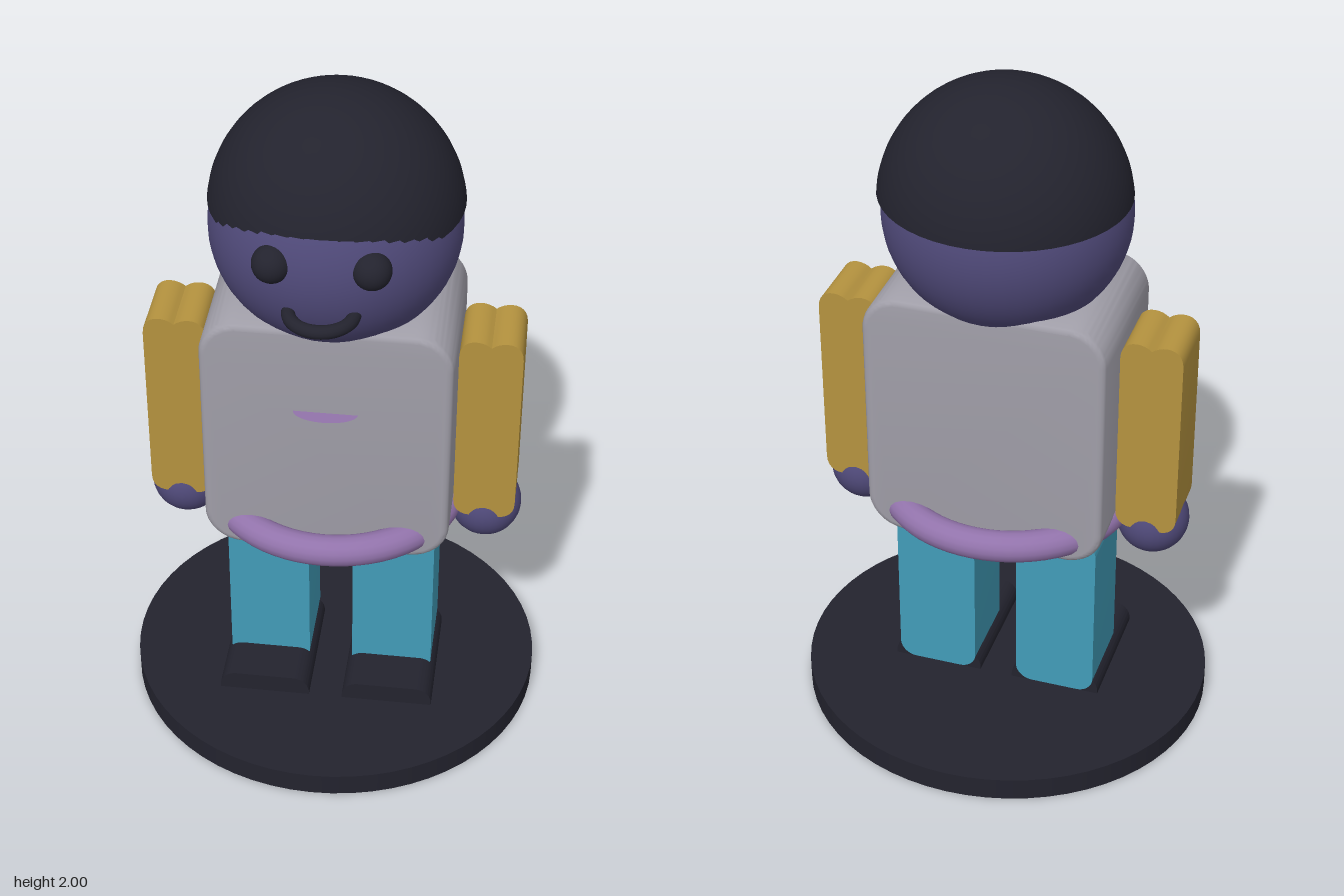
import * as THREE from 'three';
import { toCreasedNormals } from 'three/addons/utils/BufferGeometryUtils.js';

const material = (name, color, side = THREE.FrontSide) => {
  const m = new THREE.MeshStandardMaterial({ color, side });
  m.name = name;
  return m;
};

// Rounded rectangle drawn in XY, centred on the origin
function roundedRect(w, h, r) {
  const x = w / 2, y = h / 2;
  return new THREE.Shape()
    .moveTo(x, y - r).absarc(x - r, y - r, r, 0, Math.PI / 2)
    .absarc(r - x, y - r, r, Math.PI / 2, Math.PI)
    .absarc(r - x, r - y, r, Math.PI, Math.PI * 1.5)
    .absarc(x - r, r - y, r, Math.PI * 1.5, Math.PI * 2);
}

// Sleeve outline with two soft lobes at each end
function sleeveShape(w, h) {
  const x = w / 2, y = h / 2, r = 0.05, notch = y - 0.014;
  const s = new THREE.Shape();
  s.moveTo(x, r - y);
  s.lineTo(x, y - r);
  s.bezierCurveTo(x, y + 0.012, x - 0.06, y + 0.012, 0, notch);
  s.bezierCurveTo(0.06 - x, y + 0.012, -x, y + 0.012, -x, y - r);
  s.lineTo(-x, r - y);
  s.bezierCurveTo(-x, -y - 0.012, 0.06 - x, -y - 0.012, 0, -notch);
  s.bezierCurveTo(x - 0.06, -y - 0.012, x, -y - 0.012, x, r - y);
  return s;
}

// Extrusion along z, centred, with an optional small bevel
function slab(shape, depth, bevel = 0) {
  const geo = new THREE.ExtrudeGeometry(shape, {
    depth: depth - 2 * bevel, curveSegments: 10, bevelEnabled: bevel > 0,
    bevelThickness: bevel, bevelSize: bevel, bevelOffset: -bevel, bevelSegments: 4,
  });
  geo.translate(0, 0, bevel - depth / 2);
  return toCreasedNormals(geo, 0.6);
}

export function createModel() {
  const model = new THREE.Group();
  model.name = 'figurine';

  const dark = material('dark charcoal', 0x23232e);
  const darkOpen = material('cap charcoal', 0x23232e, THREE.DoubleSide);
  const skin = material('indigo skin', 0x504a7a);
  const grey = material('grey shirt', 0xa09ea8);
  const gold = material('gold sleeve', 0xb5933f);
  const teal = material('teal trousers', 0x429cb8);
  const purple = material('purple trim', 0x9273ab, THREE.DoubleSide);

  const add = (name, geo, mat, x = 0, y = 0, z = 0) => {
    const mesh = new THREE.Mesh(geo, mat);
    mesh.name = name;
    mesh.position.set(x, y, z);
    model.add(mesh);
    return mesh;
  };

  // Oval stand
  add('base', new THREE.CylinderGeometry(0.61, 0.61, 0.07, 64), dark, 0, 0.035, 0)
    .scale.z = 0.957;

  // Torso
  add('torso', slab(roundedRect(0.7, 0.775, 0.11), 0.463, 0.02), grey, 0, 1.022, 0);

  // Belt ring around the hips
  const belt = new THREE.TorusGeometry(0.305, 0.045, 16, 64).rotateX(Math.PI / 2);
  add('belt', belt, purple, 0, 0.7, 0).scale.x = 1.085;

  // Thin half-oval ledge on the chest
  const ledge = new THREE.CircleGeometry(0.09, 24, Math.PI, Math.PI).rotateX(-Math.PI / 2);
  add('chestTrim', ledge, purple, 0, 1.135, 0.23).scale.z = 0.5;

  // Limbs, mirrored
  const legGeo = slab(roundedRect(0.24, 0.555, 0.05), 0.24);
  const footGeo = slab(roundedRect(0.27, 0.12, 0.05), 0.37);
  const sleeveGeo = slab(sleeveShape(0.177, 0.61), 0.19);
  const handGeo = new THREE.SphereGeometry(0.105, 32, 20);
  const eyeGeo = new THREE.SphereGeometry(0.053, 24, 16);
  for (const [side, s] of [['left', 1], ['right', -1]]) {
    add(side + 'Leg', legGeo, teal, s * 0.185, 0.3525, 0);
    add(side + 'Foot', footGeo, dark, s * 0.185, 0.07, 0.07);
    add(side + 'Sleeve', sleeveGeo, gold, s * 0.441, 1.005, 0);
    add(side + 'Hand', handGeo, skin, s * 0.441, 0.683, 0);
    add(side + 'Eye', eyeGeo, dark, s * 0.131, 1.66, 0.293);
  }

  // Head
  add('head', new THREE.SphereGeometry(1, 48, 32), skin, 0, 1.613, 0)
    .scale.set(0.346, 0.33, 0.333);

  // Cap: upper part of a slightly set-back ellipsoid, cut flat below
  const capGeo = new THREE.SphereGeometry(1, 48, 24, 0, Math.PI * 2, 0, Math.acos(0.03 / 0.35));
  add('cap', capGeo, darkOpen, 0, 1.65, -0.02).scale.set(0.35, 0.35, 0.337);

  // Mouth: horizontal half ring in front of the face
  const mouth = new THREE.TorusGeometry(0.087, 0.019, 12, 28, Math.PI).rotateX(Math.PI / 2);
  add('mouth', mouth, dark, 0, 1.52, 0.3);

  return model;
}
